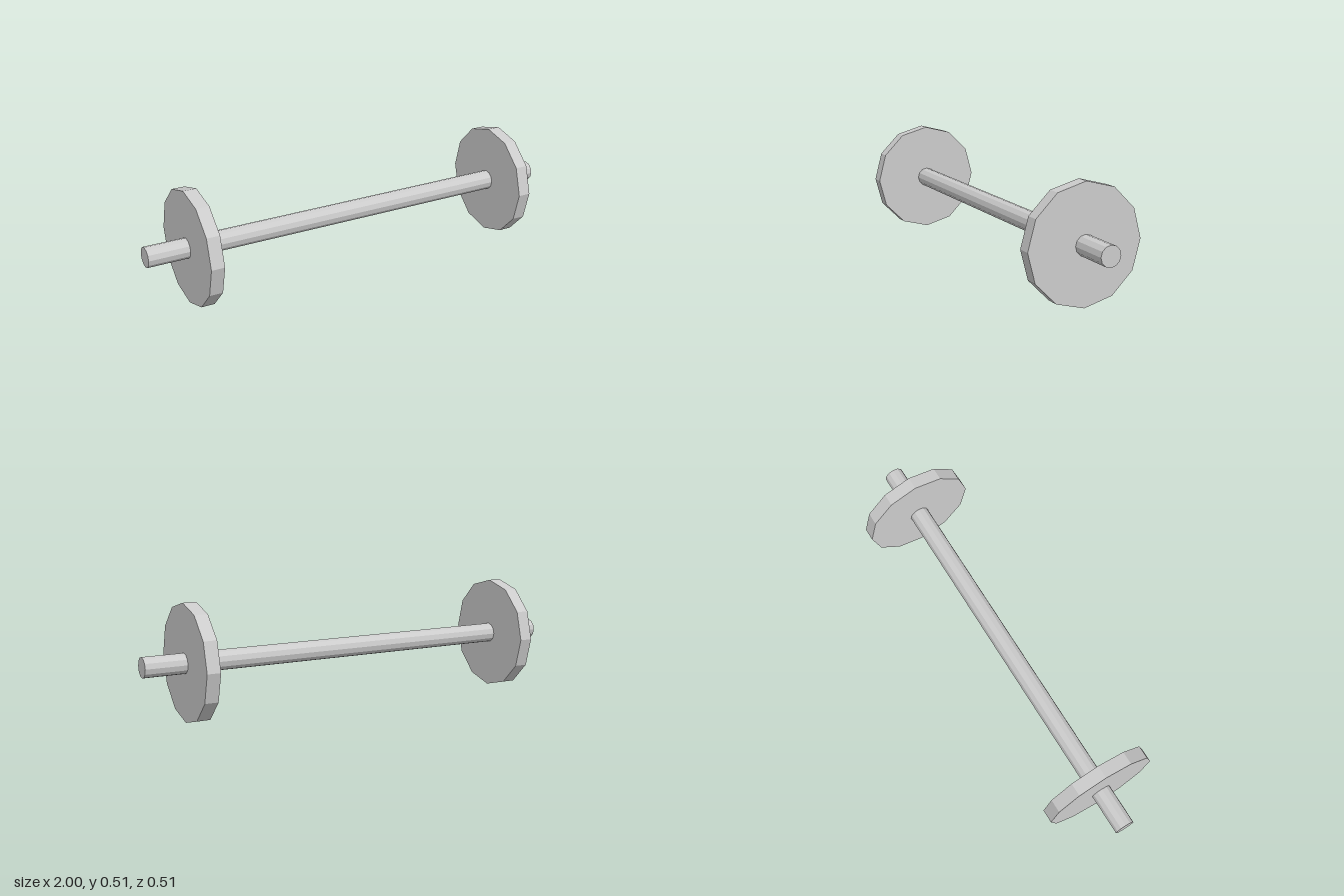
import * as THREE from 'three';

const SIDES = 12;
const WHEEL_RADIUS = 0.257;
const WHEEL_WIDTH = 0.06;
const WHEEL_X = 0.785;
const AXLE_RADIUS = 0.045;
const AXLE_LENGTH = 2;

export function createModel() {
  const group = new THREE.Group();
  group.name = 'wheelAxle';
  const material = new THREE.MeshStandardMaterial({ color: 0xcccccc, flatShading: true });

  // Faceted cylinder lying along x at wheel-centre height
  const addCylinder = (name, radius, length, x) => {
    const geometry = new THREE.CylinderGeometry(radius, radius, length, SIDES).rotateZ(Math.PI / 2);
    const mesh = new THREE.Mesh(geometry, material);
    mesh.name = name;
    mesh.position.set(x, WHEEL_RADIUS, 0);
    group.add(mesh);
  };

  // Axle running through both wheels
  addCylinder('axle', AXLE_RADIUS, AXLE_LENGTH, 0);

  // Mirrored pair of solid wheels
  addCylinder('leftWheel', WHEEL_RADIUS, WHEEL_WIDTH, WHEEL_X);
  addCylinder('rightWheel', WHEEL_RADIUS, WHEEL_WIDTH, -WHEEL_X);

  return group;
}
